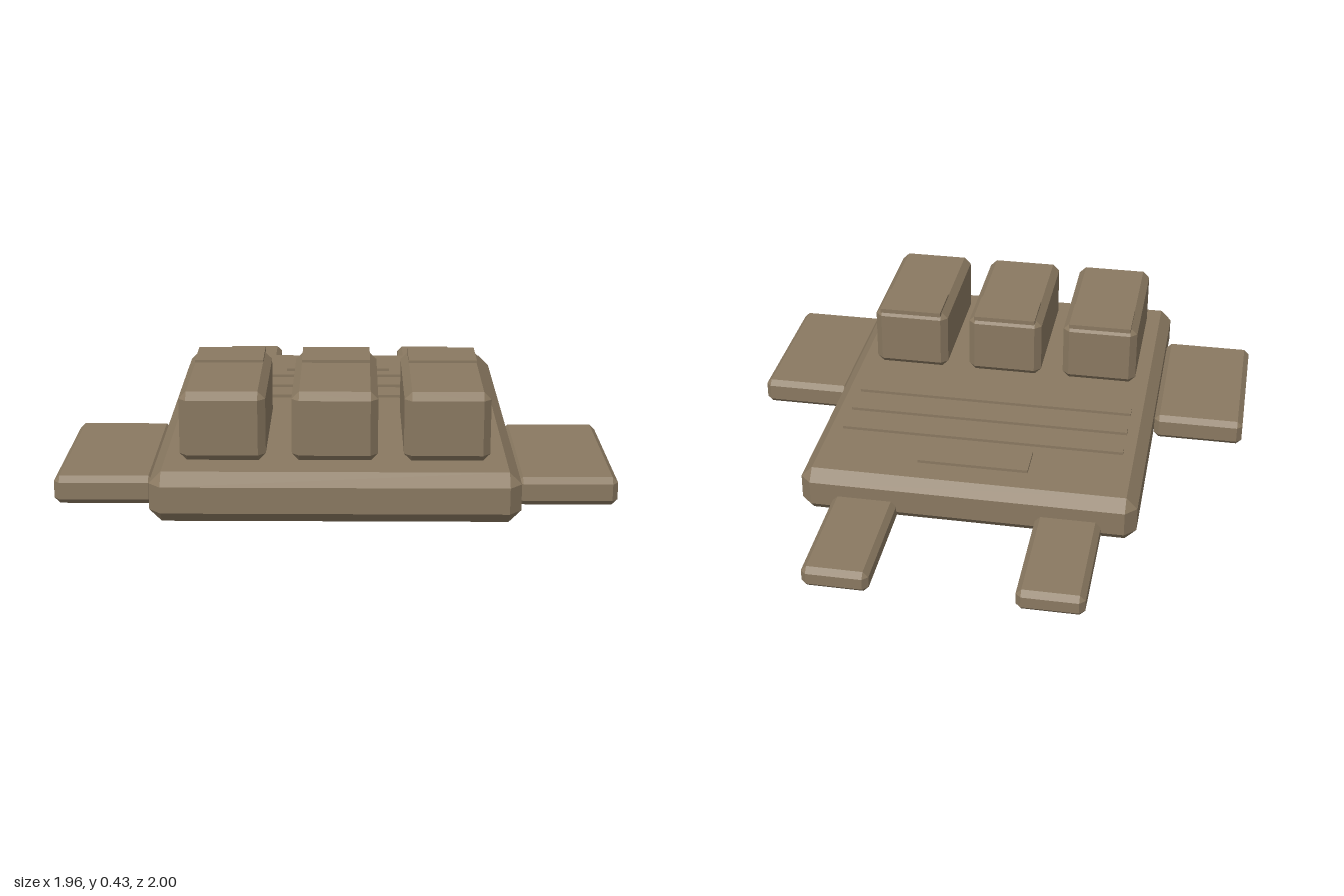
import * as THREE from 'three';
import { ConvexGeometry } from 'three/addons/geometries/ConvexGeometry.js';

// Box with 45 degree chamfers on every edge, given by its min and max corners
function chamferBox(min, max, bevel) {
  const half = min.map((v, i) => (max[i] - v) / 2);
  const points = [];
  for (const sx of [-1, 1]) for (const sy of [-1, 1]) for (const sz of [-1, 1]) {
    for (let axis = 0; axis < 3; axis++) {
      const p = half.map((h, i) => (i === axis ? h : h - bevel));
      points.push(new THREE.Vector3(p[0] * sx, p[1] * sy, p[2] * sz));
    }
  }
  return place(new ConvexGeometry(points), min, max);
}

function plainBox(min, max) {
  return place(new THREE.BoxGeometry(...min.map((v, i) => max[i] - v)), min, max);
}

function place(geometry, min, max) {
  return geometry.translate(...min.map((v, i) => (v + max[i]) / 2));
}

export function createModel() {
  const model = new THREE.Group();
  model.name = 'vest';
  const fabric = new THREE.MeshStandardMaterial({ color: 0x8a7961 });
  fabric.name = 'tan fabric';

  const add = (name, geometry, parent = model) => {
    const mesh = new THREE.Mesh(geometry, fabric);
    mesh.name = name;
    parent.add(mesh);
  };

  // Main panel lying flat
  add('mainPanel', chamferBox([-0.63, 0, -0.545], [0.63, 0.177, 1], 0.042));

  // Side panels and shoulder straps, mirrored
  for (const [side, s] of [['left', 1], ['right', -1]]) {
    const span = (a, b) => (s > 0 ? [a, b] : [-b, -a]);
    const [p0, p1] = span(0.63, 0.98);
    add(side + 'SidePanel', chamferBox([p0, 0.004, 0.19], [p1, 0.105, 0.82], 0.02));
    const [t0, t1] = span(0.26, 0.503);
    add(side + 'ShoulderStrap', chamferBox([t0, 0.004, -1], [t1, 0.086, -0.51], 0.02));
  }

  // Three pouches with thin flaps
  ['right', 'middle', 'left'].forEach((label, i) => {
    const pouch = new THREE.Group();
    pouch.name = label + 'Pouch';
    const x = -0.387 + i * 0.385;
    add('pouchBody', chamferBox([x - 0.148, 0.175, 0.303], [x + 0.148, 0.422, 0.86], 0.026), pouch);
    add('pouchFlap', plainBox([x - 0.123, 0.415, 0.297], [x + 0.123, 0.432, 0.475]), pouch);
    model.add(pouch);
  });

  // Webbing rows and the blank patch
  for (const z of [-0.199, -0.058, 0.083]) {
    add('webbingStrip', plainBox([-0.545, 0.17, z - 0.021], [0.54, 0.188, z + 0.021]));
  }
  add('chestPatch', plainBox([-0.21, 0.17, -0.404], [0.206, 0.188, -0.266]));

  return model;
}
